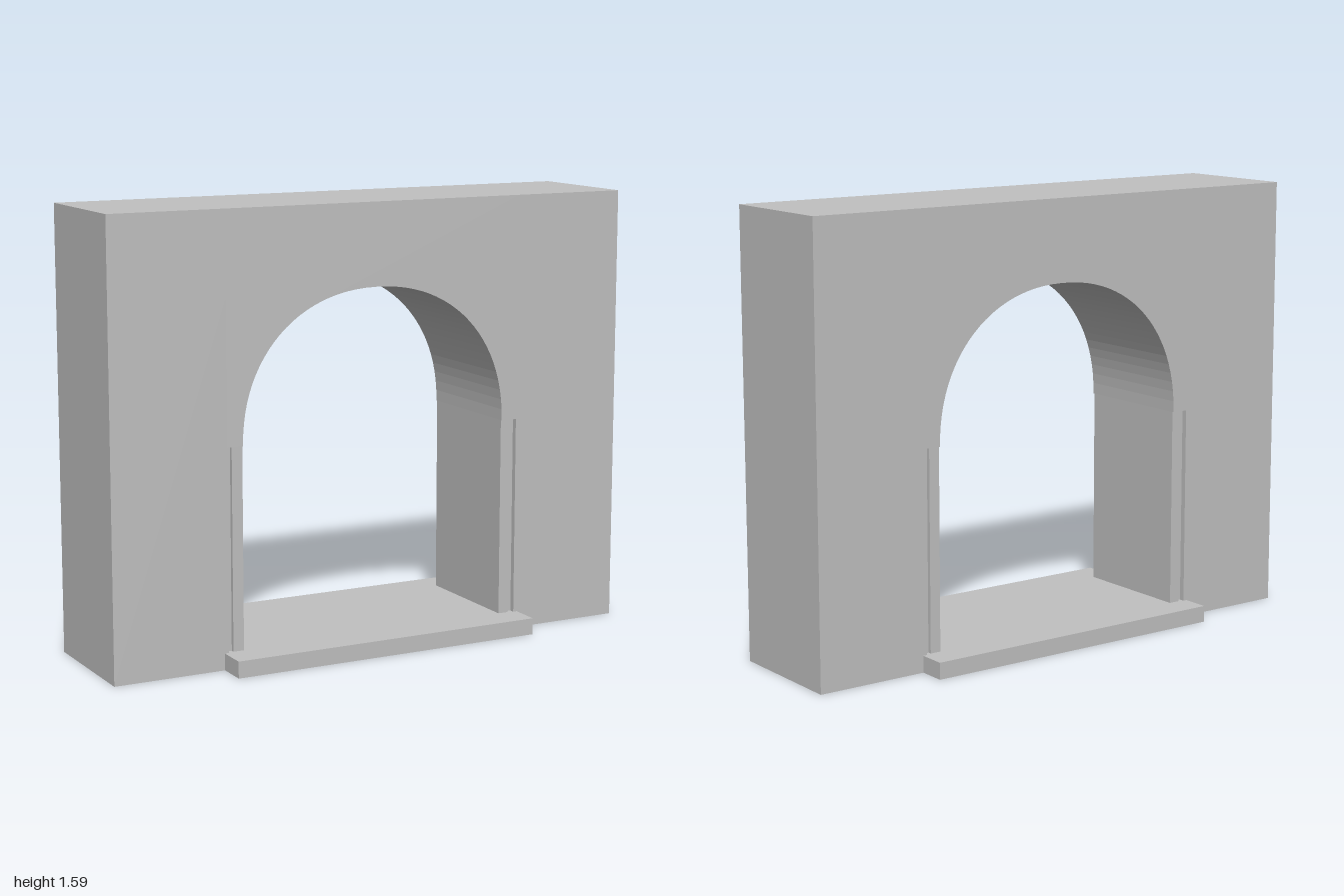
import * as THREE from 'three';

export function createModel() {
  const model = new THREE.Group();
  model.name = 'archway';
  const stone = new THREE.MeshStandardMaterial({ color: 0xc0c0c0 });
  stone.name = 'grey stone';

  const BACK = -0.24, FRONT = 0.23, TOP = 1.59;
  const SPRING = 0.78, HALF = 0.515, PIER = 0.575, CAP = 1.29, SILL = 0.06;

  const add = (name, geometry) => {
    const mesh = new THREE.Mesh(geometry, stone);
    mesh.name = name;
    model.add(mesh);
    return mesh;
  };
  // Box given by its limits on each axis
  const block = (name, x0, x1, y0, y1, z0, z1) => {
    const mesh = add(name, new THREE.BoxGeometry(x1 - x0, y1 - y0, z1 - z0));
    mesh.position.set((x0 + x1) / 2, (y0 + y1) / 2, (z0 + z1) / 2);
  };
  // Same box on both sides of the opening
  const pair = (name, inner, outer, y0, y1, inset) => {
    block(name + 'Left', inner, outer, y0, y1, BACK + inset, FRONT - inset);
    block(name + 'Right', -outer, -inner, y0, y1, BACK + inset, FRONT - inset);
  };

  // Side piers with their upper blocks
  pair('pier', PIER, 1, 0, CAP, 0);
  pair('upperBlock', PIER, 1, CAP, TOP, 0);

  // Jambs, with a narrow groove beside each pier
  pair('jamb', HALF, 0.555, SILL, SPRING, 0.006);
  pair('jambGroove', 0.555, PIER, SILL, SPRING, 0.02);

  // Arch block: a slightly squared semicircle cut from below
  const shape = new THREE.Shape();
  shape.moveTo(-PIER, TOP);
  shape.lineTo(-PIER, SPRING);
  const steps = 48, power = 2 / 2.15;
  for (let i = 0; i <= steps; i++) {
    const a = Math.PI * (1 - i / steps);
    const c = Math.cos(a), s = Math.max(0, Math.sin(a));
    shape.lineTo(
      HALF * Math.sign(c) * Math.abs(c) ** power,
      SPRING + HALF * s ** power
    );
  }
  shape.lineTo(PIER, SPRING);
  shape.lineTo(PIER, TOP);
  shape.closePath();
  const arch = add('archBlock', new THREE.ExtrudeGeometry(shape, {
    depth: FRONT - BACK, bevelEnabled: false
  }));
  arch.position.z = BACK;

  // Threshold slab projecting at front and back
  block('threshold', -0.59, 0.59, 0, SILL, -0.34, 0.34);

  return model;
}
